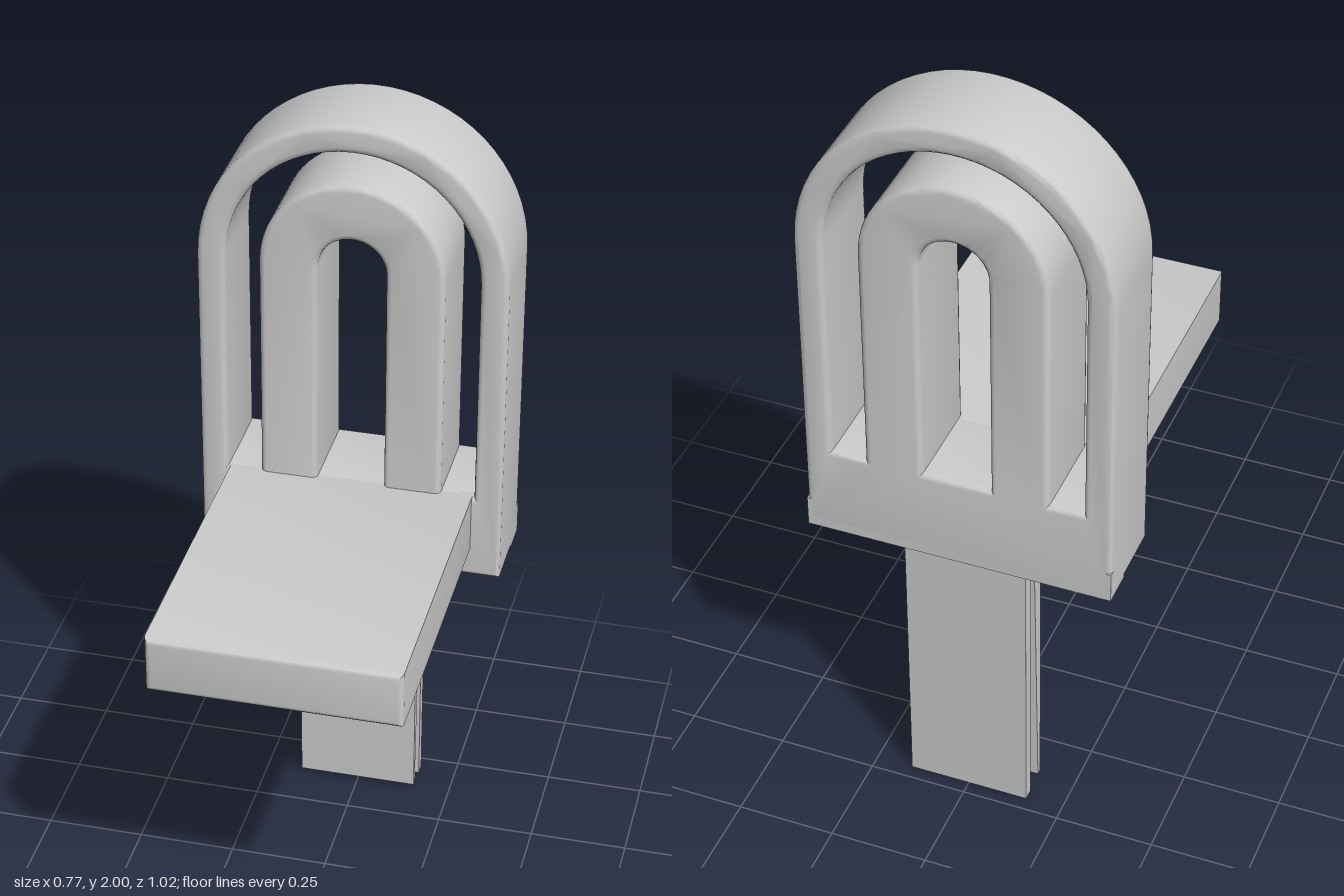
import * as THREE from 'three';
import { toCreasedNormals } from 'three/addons/utils/BufferGeometryUtils.js';

const material = new THREE.MeshStandardMaterial({ color: 0xcccccc });
const ARC_Y = 1.615; // shared centre height of all arches
const BACK = -0.51, FRONT = -0.26;

function addMesh(group, name, geometry) {
  const mesh = new THREE.Mesh(toCreasedNormals(geometry, 0.6), material);
  mesh.name = name;
  group.add(mesh);
  return mesh;
}

// Upright outline with a half-round top
function arch(Type, r, bottom) {
  const p = new Type();
  p.moveTo(-r, bottom);
  p.lineTo(r, bottom);
  p.lineTo(r, ARC_Y);
  p.absarc(0, ARC_Y, r, 0, Math.PI, false);
  p.lineTo(-r, bottom);
  return p;
}

// Extrude between two z values with rounded end edges kept inside the outline
function extrudeZ(shape, z0, z1, bevel) {
  const g = new THREE.ExtrudeGeometry(shape, {
    depth: z1 - z0 - 2 * bevel, curveSegments: 16, bevelEnabled: bevel > 0,
    bevelThickness: bevel, bevelSize: bevel, bevelOffset: -bevel, bevelSegments: 3,
  });
  return g.translate(0, 0, z0 + bevel);
}

function rect(x, y0, y1) {
  return new THREE.Shape([[-x, y0], [x, y0], [x, y1], [-x, y1]].map(p => new THREE.Vector2(...p)));
}

// Side profile in (z, y) extruded across x
function strip(profile, halfWidth) {
  const s = new THREE.Shape(profile.map(([z, y]) => new THREE.Vector2(-z, y)));
  const g = new THREE.ExtrudeGeometry(s, { depth: 2 * halfWidth, bevelEnabled: false });
  return g.translate(0, 0, -halfWidth).rotateY(Math.PI / 2);
}

export function createModel() {
  const group = new THREE.Group();
  group.name = 'archedClip';

  // Body: outer arch, a gap around the inner loop, and the loop's own opening
  const body = arch(THREE.Shape, 0.385, 0.79);
  const gap = new THREE.Path();
  gap.moveTo(-0.315, 1.02);
  gap.lineTo(-0.23, 1.02);
  gap.lineTo(-0.23, ARC_Y);
  gap.absarc(0, ARC_Y, 0.23, Math.PI, 0, true);
  gap.lineTo(0.23, 1.02);
  gap.lineTo(0.315, 1.02);
  gap.lineTo(0.315, ARC_Y);
  gap.absarc(0, ARC_Y, 0.315, 0, Math.PI, false);
  gap.lineTo(-0.315, 1.02);
  body.holes.push(gap, arch(THREE.Path, 0.085, 1.02));
  addMesh(group, 'archedBody', extrudeZ(body, BACK, FRONT, 0.015));

  // Slightly lower rear half of the base
  addMesh(group, 'rearBase', extrudeZ(rect(0.385, 0.78, 0.86), BACK, -0.42, 0));

  // Shelf with a rounded front edge
  addMesh(group, 'shelf', extrudeZ(rect(0.31, 0.87, 1.02), -0.3, 0.51, 0.015));

  // Two thin prongs, the front one tapering downwards
  addMesh(group, 'frontProng',
    strip([[-0.365, 0.8], [-0.41, 0.8], [-0.383, 0.01], [-0.368, 0.01]], 0.155));
  addMesh(group, 'rearProng',
    strip([[-0.43, 0.8], [-0.465, 0.8], [-0.465, 0], [-0.435, 0]], 0.155));

  return group;
}
